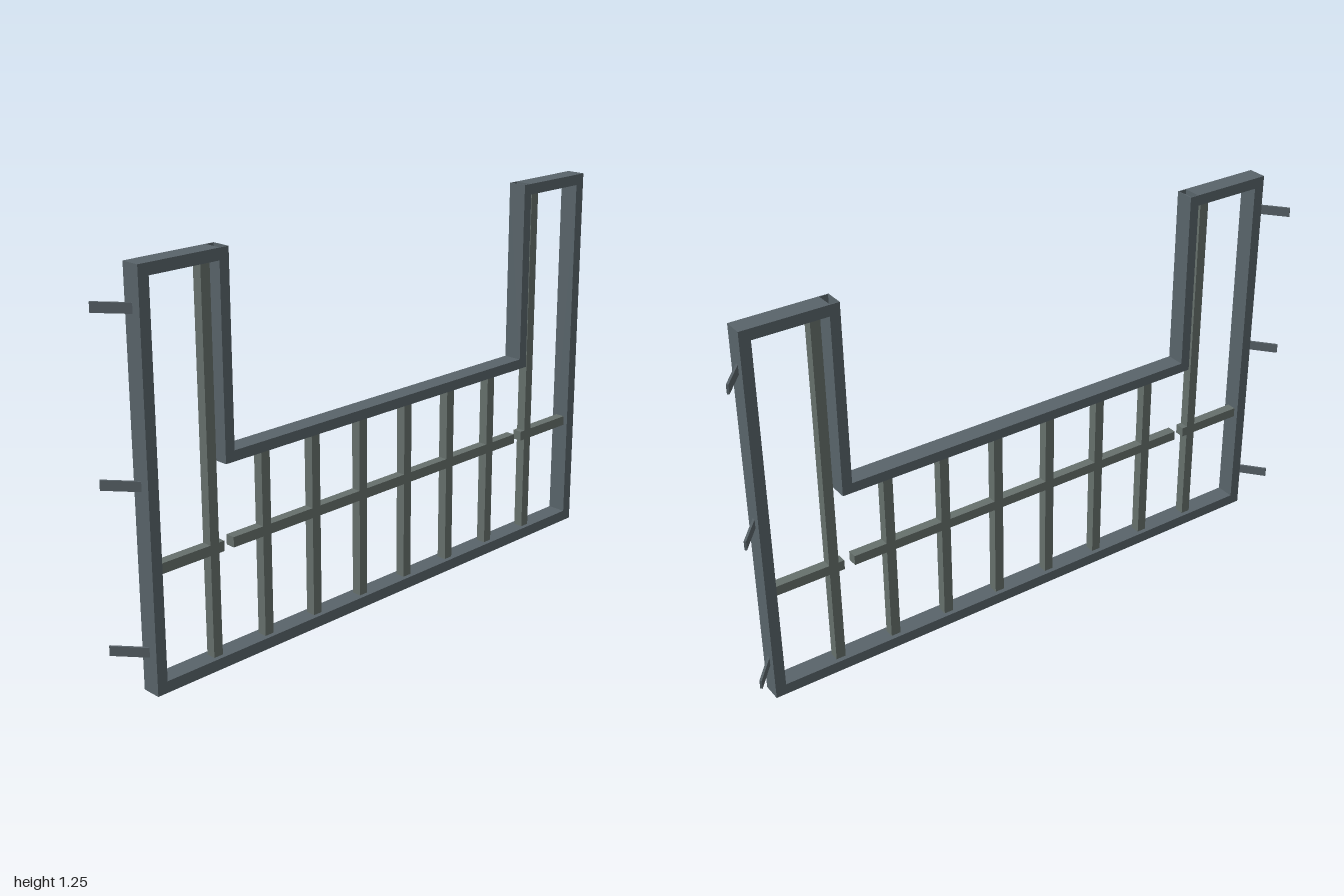
import * as THREE from 'three';

const frameMat = new THREE.MeshStandardMaterial({ color: 0x59646a });
const barMat = new THREE.MeshStandardMaterial({ color: 0x66706c });
const bracketMat = new THREE.MeshStandardMaterial({ color: 0x586268 });

const D = 0.0625; // frame depth, spanning z = 0..D

// Box given by its x and y limits, centred in the depth of the frame
function bar(parent, name, x0, x1, y0, y1, depth, mat) {
  const mesh = new THREE.Mesh(new THREE.BoxGeometry(x1 - x0, y1 - y0, depth), mat);
  mesh.position.set((x0 + x1) / 2, (y0 + y1) / 2, D / 2);
  mesh.name = name;
  parent.add(mesh);
  return mesh;
}

// Upright rectangular tube, open at the top
function tubePost(parent, name, x0, x1, y0, y1) {
  const w = x1 - x0, t = 0.003;
  const rect = (target, a, b) => {
    target.moveTo(-a, -b);
    target.lineTo(a, -b);
    target.lineTo(a, b);
    target.lineTo(-a, b);
    target.closePath();
    return target;
  };
  const shape = rect(new THREE.Shape(), w / 2, D / 2);
  shape.holes.push(rect(new THREE.Path(), w / 2 - t, D / 2 - t));
  const geo = new THREE.ExtrudeGeometry(shape, { depth: y1 - y0, bevelEnabled: false });
  geo.rotateX(-Math.PI / 2);
  const mesh = new THREE.Mesh(geo, frameMat);
  mesh.position.set((x0 + x1) / 2, y0, D / 2);
  mesh.name = name;
  parent.add(mesh);
}

export function createModel() {
  const model = new THREE.Group();
  model.name = 'railing';

  // Outer frame
  const frame = new THREE.Group();
  frame.name = 'frame';
  model.add(frame);
  bar(frame, 'bottomRail', -0.927, 0.927, 0, 0.036, D, frameMat);
  bar(frame, 'middleRail', -0.655, 0.655, 0.626, 0.659, D, frameMat);

  // Infill bars
  const infill = new THREE.Group();
  infill.name = 'infill';
  model.add(infill);
  const b = 0.016, barDepth = 0.032;
  for (let i = 0; i < 8; i++) {
    const x = (i - 3.5) * 0.198;
    const top = i === 0 || i === 7 ? 1.21 : 0.626;
    bar(infill, 'uprightBar', x - b, x + b, 0.036, top, barDepth, barMat);
  }
  bar(infill, 'crossBar', -0.623, 0.623, 0.374 - b, 0.374 + b, barDepth, barMat);

  for (const s of [-1, 1]) {
    const side = s > 0 ? 'left' : 'right';
    const span = (a, c) => (s > 0 ? [a, c] : [-c, -a]);

    // Tower on each end
    bar(frame, side + 'OuterPost', ...span(0.892, 0.927), 0.036, 1.21, D, frameMat);
    bar(frame, side + 'TopRail', ...span(0.655, 0.927), 1.21, 1.245, D, frameMat);
    tubePost(frame, side + 'InnerPost', ...span(0.622, 0.655), 0.659, 1.245);
    bar(infill, side + 'CrossBar', ...span(0.658, 0.892), 0.374 - b, 0.374 + b, barDepth, barMat);

    // Slanted fixing strips reaching backwards
    for (const y of [0.127, 0.625, 1.123]) {
      const strip = new THREE.Mesh(new THREE.BoxGeometry(0.118, 0.03, 0.007), bracketMat);
      strip.position.set(s * 0.96, y, -0.013);
      strip.rotation.y = s * Math.atan2(0.091, 0.075);
      strip.name = side + 'Bracket';
      model.add(strip);
    }
  }
  return model;
}
